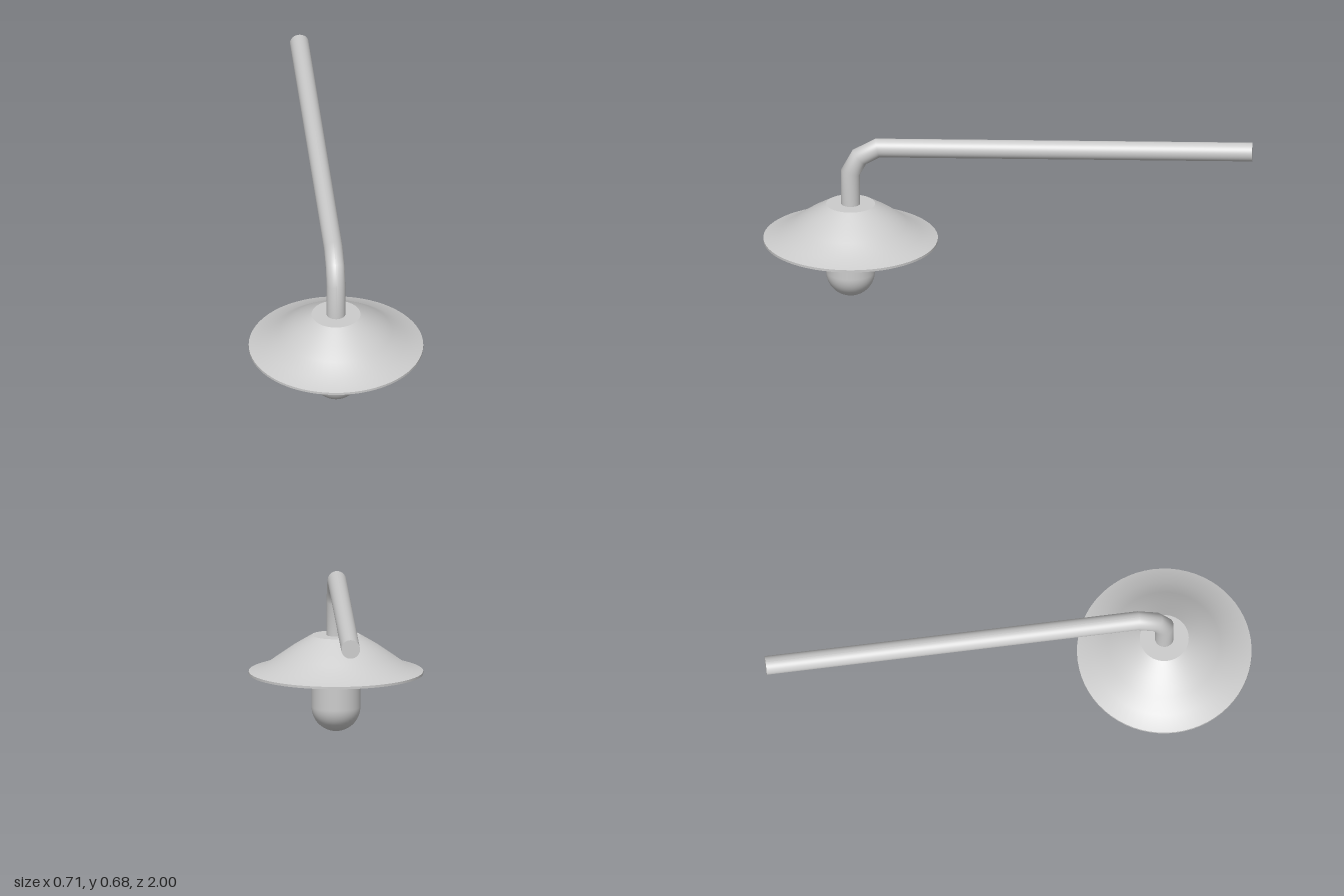
import * as THREE from 'three';
import { mergeGeometries } from 'three/addons/utils/BufferGeometryUtils.js';

const LAMP_Z = 0.643;
const grey = new THREE.MeshStandardMaterial({ color: 0xcccccc });

// Each run of [radius, y] points is smooth; edges between runs stay sharp.
function turned(name, runs) {
  const parts = runs.map(run =>
    new THREE.LatheGeometry(run.map(([r, y]) => new THREE.Vector2(r, y)), 64));
  const mesh = new THREE.Mesh(mergeGeometries(parts), grey);
  mesh.name = name;
  mesh.position.z = LAMP_Z;
  return mesh;
}

// Capped pipe: a cylinder whose rows are moved onto points [z, y], mitred at each bend.
function bentPipe(name, path, radius) {
  const pts = path.map(([z, y]) => new THREE.Vector3(0, y, z));
  const last = pts.length - 1;
  const dirs = pts.slice(1).map((p, i) => p.clone().sub(pts[i]).normalize());
  const geo = new THREE.CylinderGeometry(radius, radius, 1, 48, last);
  const pos = geo.attributes.position;
  for (let i = 0; i < pos.count; i++) {
    const row = Math.round((pos.getY(i) + 0.5) * last);
    const before = dirs[Math.max(row - 1, 0)];
    const after = dirs[Math.min(row, last - 1)];
    const t = before.clone().add(after).normalize();
    const across = pos.getZ(i) / t.dot(after);
    const p = pts[row];
    pos.setXYZ(i, pos.getX(i), p.y - t.z * across, p.z + t.y * across);
  }
  geo.computeVertexNormals();
  const mesh = new THREE.Mesh(geo, grey);
  mesh.name = name;
  return mesh;
}

export function createModel() {
  const group = new THREE.Group();
  group.name = 'wallLamp';

  // Wall arm, bending down into the shade
  group.add(bentPipe('arm', [
    [LAMP_Z, 0.39], [LAMP_Z, 0.54], [0.607, 0.606], [0.532, 0.646], [-1, 0.646],
  ], 0.0385));

  // Thin flared shade: underside, rim, slope and flat top
  const slope = [[0.357, 0.25], [0.29, 0.273], [0.23, 0.316], [0.17, 0.358], [0.1, 0.4]];
  const underside = slope.map(([r, y]) => [r, y - 0.01]).reverse();
  group.add(turned('shade', [
    underside,
    [[0.357, 0.24], [0.357, 0.25]],
    slope,
    [[0.1, 0.4], [0, 0.4]],
  ]));

  // Round-ended bulb, reaching up inside the shade
  const bulb = [];
  for (let i = 0; i <= 16; i++) {
    const a = (i / 16) * Math.PI / 2;
    bulb.push([0.1 * Math.sin(a), 0.102 - 0.1 * Math.cos(a)]);
  }
  bulb.push([0.1, 0.392]);
  group.add(turned('bulb', [bulb, [[0.1, 0.392], [0, 0.392]]]));

  return group;
}
